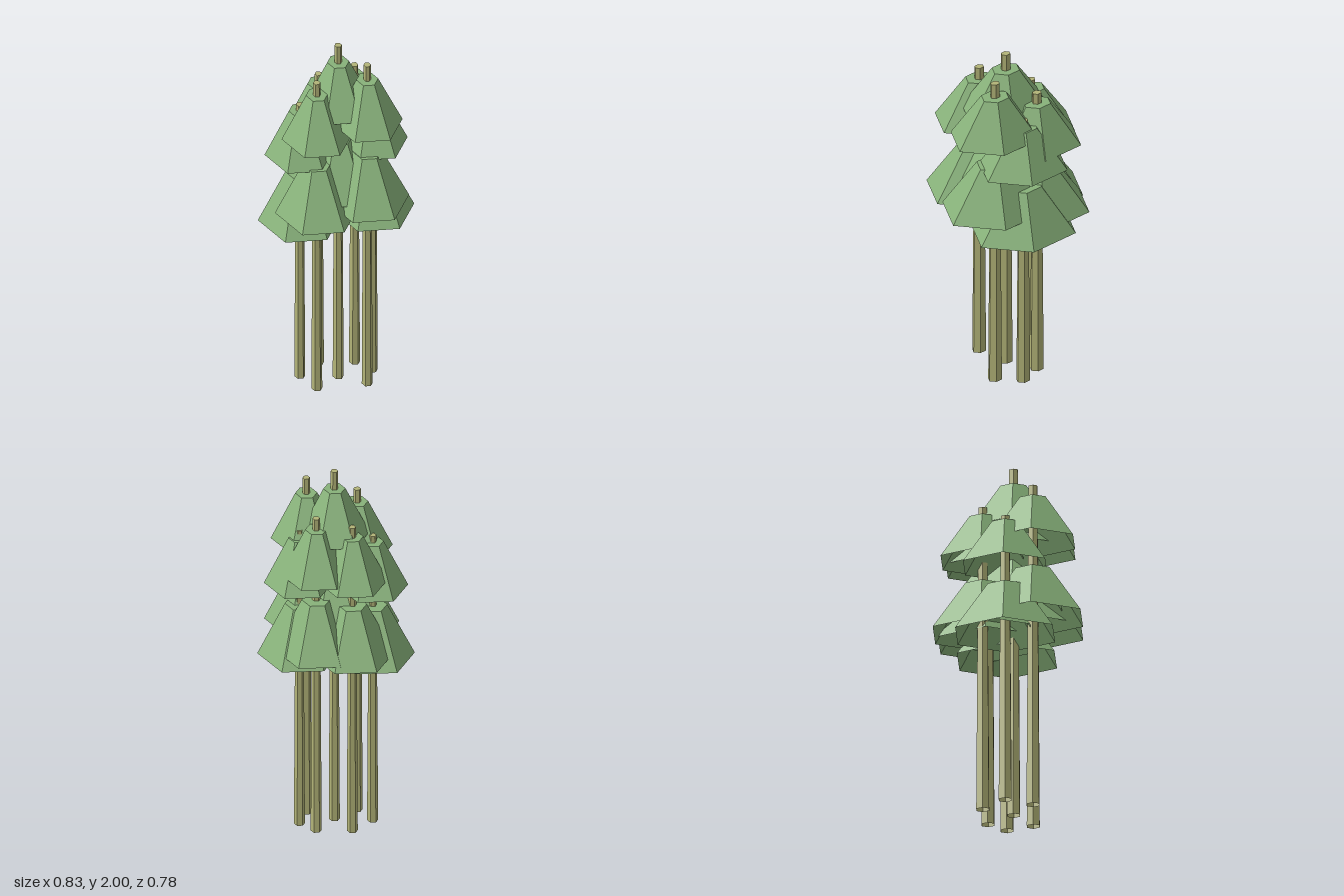
import * as THREE from 'three';
import { mergeGeometries } from 'three/addons/utils/BufferGeometryUtils.js';

const foliage = new THREE.MeshStandardMaterial({ color: 0x88b27a, flatShading: true, side: THREE.DoubleSide });
foliage.name = 'foliage green';
const bark = new THREE.MeshStandardMaterial({ color: 0xb3b478, flatShading: true, side: THREE.DoubleSide });
bark.name = 'pale bark';

// Six-sided frustum, capped on top and hollow below, stretched in depth
function frustum(name, rTop, rBottom, y0, y1, material) {
  const wall = new THREE.CylinderGeometry(rTop, rBottom, y1 - y0, 6, 1, true);
  wall.rotateY(Math.PI / 6);
  wall.translate(0, (y0 + y1) / 2, 0);
  const cap = new THREE.CircleGeometry(rTop, 6);
  cap.rotateX(-Math.PI / 2);
  cap.translate(0, y1, 0);
  const geo = mergeGeometries([wall, cap]);
  geo.scale(1, 1, 1.333);
  const mesh = new THREE.Mesh(geo, material);
  mesh.name = name;
  return mesh;
}

// One conifer: tapered trunk and two skirts of foliage set by its height
function makeTree(x, z, height) {
  const tree = new THREE.Group();
  tree.name = 'tree';
  const upper = height * 0.8225;
  const lower = height * 0.583;
  tree.add(
    frustum('trunk', 0.0195, 0.029, 0, height, bark),
    frustum('upperFoliage', 0.058, 0.187, upper, upper + 0.254, foliage),
    frustum('lowerFoliage', 0.077, 0.222, lower, lower + 0.282, foliage)
  );
  tree.position.set(x, 0, z);
  return tree;
}

export function createModel() {
  const group = new THREE.Group();
  group.name = 'treeCluster';
  // x, z, height
  const trees = [
    [0.005, 0.023, 2.0],
    [0.146, 0.118, 1.924],
    [-0.123, 0.133, 1.845],
    [0.111, -0.118, 1.795],
    [-0.078, -0.134, 1.745],
    [0.192, -0.023, 1.69],
    [-0.194, -0.009, 1.64],
  ];
  for (const [x, z, h] of trees) group.add(makeTree(x, z, h));
  return group;
}
